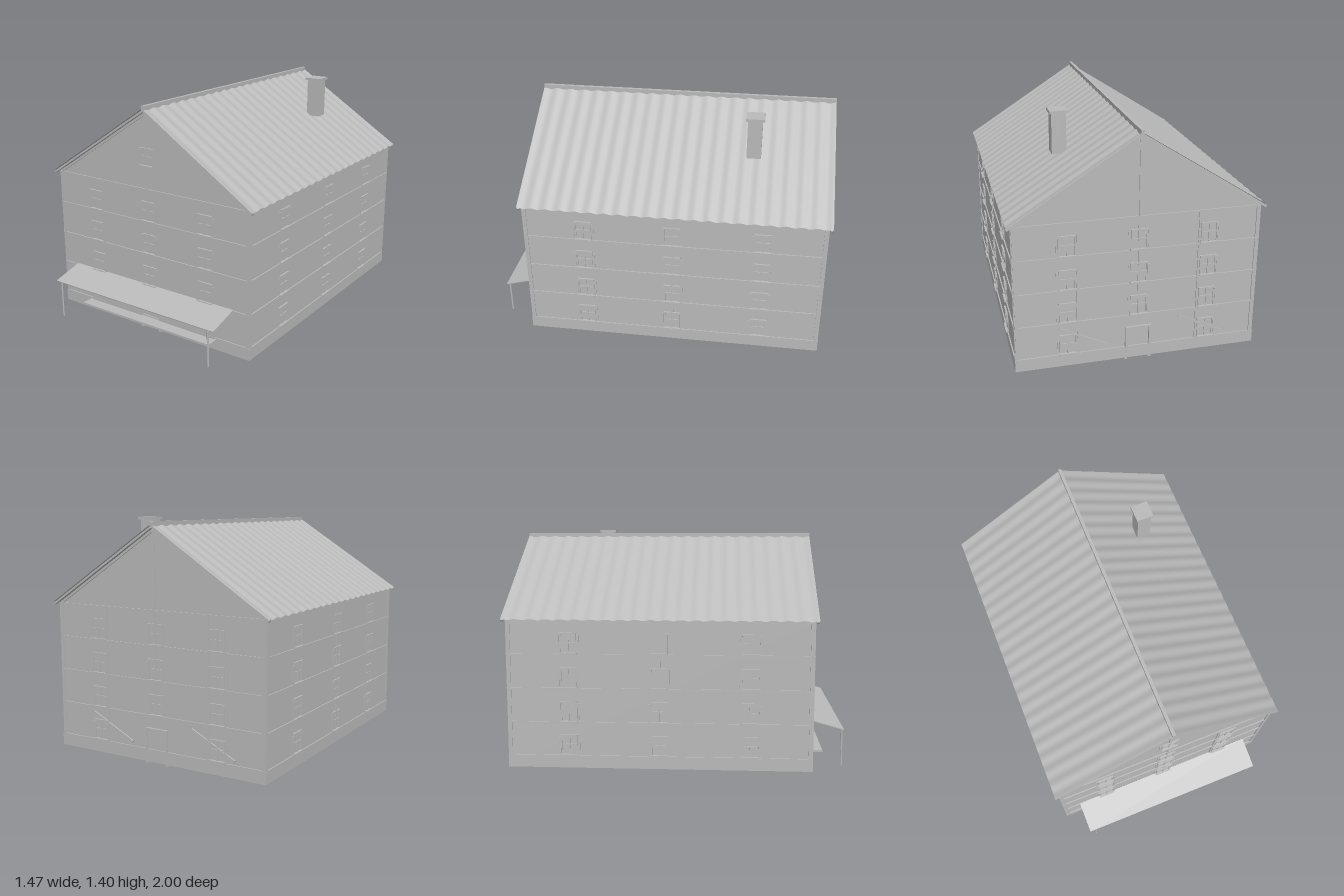
import * as THREE from 'three';

const grey = new THREE.MeshStandardMaterial({ color: 0xbababa });
grey.name = 'plain grey';
const greySheet = grey;
greySheet.side = THREE.DoubleSide;

const FLOORS = [0.085, 0.285, 0.488, 0.69];   // window sill height of each storey
const BELTS = [0.08, 0.282, 0.484, 0.686, 0.886];
const ZC = -0.085, HALF_W = 0.706, HALF_D = 0.89;

// Box given by its limits
function box(parent, name, x0, x1, y0, y1, z0, z1) {
  const m = new THREE.Mesh(new THREE.BoxGeometry(x1 - x0, y1 - y0, z1 - z0), grey);
  m.position.set((x0 + x1) / 2, (y0 + y1) / 2, (z0 + z1) / 2);
  m.name = name;
  parent.add(m);
  return m;
}

// Slanted bar lying on a wall between two points
function bar(parent, name, ax, ay, bx, by, width, depth) {
  const m = new THREE.Mesh(new THREE.BoxGeometry(Math.hypot(bx - ax, by - ay), width, depth), grey);
  m.position.set((ax + bx) / 2, (ay + by) / 2, depth / 2);
  m.rotation.z = Math.atan2(by - ay, bx - ax);
  m.name = name;
  parent.add(m);
}

// Four-pane window with sill, lintel and narrow shutters
function addWindow(wall, u, y, h = 0.12) {
  const g = new THREE.Group();
  g.name = 'window';
  g.position.set(u, y, 0);
  wall.add(g);
  const w = 0.045, t = 0.008, d = 0.006;
  box(g, 'sill', -0.052, 0.052, 0, 0.007, 0, 0.016);
  box(g, 'lintel', -0.05, 0.05, h - 0.004, h + 0.004, 0, 0.01);
  for (const s of [-1, 1]) {
    box(g, 'jamb', s * w - t / 2, s * w + t / 2, 0.007, h - 0.004, 0, d);
    box(g, 'shutter', s * 0.057 - 0.006, s * 0.057 + 0.006, 0.012, h - 0.01, 0, 0.004);
  }
  box(g, 'mullion', -0.004, 0.004, 0.007, h - 0.004, 0, d);
  box(g, 'transom', -w, w, h * 0.55 - 0.003, h * 0.55 + 0.003, 0, d);
}

// A wall group: local x runs along the wall, z points outwards
function makeWall(root, name, x, z, angle, half) {
  const wall = new THREE.Group();
  wall.name = name;
  wall.position.set(x, 0, z);
  wall.rotation.y = angle;
  root.add(wall);
  for (const y of BELTS) box(wall, 'floorBeam', -half, half, y - 0.005, y + 0.005, 0, 0.007);
  for (const s of [-1, 1]) box(wall, 'cornerPost', s * (half - 0.01) - 0.01, s * (half - 0.01) + 0.01, 0.08, 0.886, 0, 0.006);
  return wall;
}

// One corrugated roof slope, waves running along the ridge
function roofSlope(side) {
  const waves = 21, rows = waves * 8;
  const pos = [], idx = [];
  for (let i = 0; i <= rows; i++) {
    const z = 0.83 - 1.83 * i / rows;
    const lift = 0.004 * Math.cos(i / rows * waves * Math.PI * 2);
    pos.push(0, 1.362 + lift, z, side * 0.735, 0.892 + lift, z);
    if (i < rows) {
      const a = i * 2;
      if (side > 0) idx.push(a, a + 1, a + 2, a + 1, a + 3, a + 2);
      else idx.push(a, a + 2, a + 1, a + 1, a + 2, a + 3);
    }
  }
  const geo = new THREE.BufferGeometry();
  geo.setAttribute('position', new THREE.Float32BufferAttribute(pos, 3));
  geo.setIndex(idx);
  geo.computeVertexNormals();
  const m = new THREE.Mesh(geo, greySheet);
  m.name = 'roofSlope';
  return m;
}

export function createModel() {
  const root = new THREE.Group();
  root.name = 'house';

  // Solid body with gables
  const outline = new THREE.Shape([
    [-HALF_W, 0.01], [HALF_W, 0.01], [HALF_W, 0.89], [0, 1.343], [-HALF_W, 0.89],
  ].map(p => new THREE.Vector2(...p)));
  const bodyGeo = new THREE.ExtrudeGeometry(outline, { depth: 2 * HALF_D, bevelEnabled: false });
  bodyGeo.translate(0, 0, ZC - HALF_D);
  const body = new THREE.Mesh(bodyGeo, grey);
  body.name = 'body';
  root.add(body);
  box(root, 'plinth', -HALF_W - 0.006, HALF_W + 0.006, 0.01, 0.078, ZC - HALF_D - 0.006, ZC + HALF_D + 0.006);

  // Gable walls: posts, rafters, windows, door and braces
  for (const f of [1, -1]) {
    const wall = makeWall(root, f > 0 ? 'frontWall' : 'backWall', 0, ZC + f * HALF_D, f > 0 ? 0 : Math.PI, HALF_W);
    for (const s of [-1, 1]) {
      box(wall, 'innerPost', s * 0.35 - 0.006, s * 0.35 + 0.006, 0.08, 0.886, 0, 0.006);
      bar(wall, 'gableRafter', s * 0.69, 0.892, 0, 1.335, 0.014, 0.007);
    }
    FLOORS.forEach((y, i) => {
      for (const u of [-0.408, 0.408]) addWindow(wall, u, y);
      if (i > 0) {
        addWindow(wall, 0, y);
        box(wall, 'centrePost', -0.006, 0.006, y + 0.124, y + 0.196, 0, 0.006);
      }
    });
    if (f > 0) {
      addWindow(wall, 0, 1.025, 0.105);
      box(wall, 'centrePost', -0.006, 0.006, 0.89, 1.025, 0, 0.006);
      box(wall, 'centrePost', -0.006, 0.006, 1.134, 1.34, 0, 0.006);
    } else {
      box(wall, 'centrePost', -0.006, 0.006, 0.28, 1.34, 0, 0.006);
    }
    bar(wall, 'brace', f * -0.52, 0.105, f * -0.24, 0.245, 0.012, 0.008);
    bar(wall, 'brace', f * 0.17, 0.11, f * 0.46, 0.25, 0.012, 0.008);
    for (const s of [-1, 1]) {
      box(wall, 'doorJamb', s * 0.07 - 0.006, s * 0.07 + 0.006, 0.08, 0.205, 0, 0.013);
      box(wall, 'doorFoot', s * 0.07 - 0.008, s * 0.07 + 0.008, 0, 0.012, -0.01, 0.008);
    }
    box(wall, 'doorHead', -0.076, 0.076, 0.199, 0.211, 0, 0.013);
  }

  // Long walls: three windows per storey with a post above the middle one
  for (const s of [-1, 1]) {
    const wall = makeWall(root, s > 0 ? 'leftWall' : 'rightWall', s * HALF_W, ZC, s * Math.PI / 2, HALF_D);
    for (const y of FLOORS) {
      for (const u of [-0.53, 0, 0.53]) addWindow(wall, u, y);
      box(wall, 'sidePost', -0.008, 0.008, y + 0.124, y + 0.196, 0, 0.006);
    }
  }

  // Roof, barge boards and ridge cap
  for (const s of [-1, 1]) {
    root.add(roofSlope(s));
    for (const z of [0.82, -0.99]) {
      const board = new THREE.Mesh(new THREE.BoxGeometry(0.868, 0.012, 0.016), grey);
      board.position.set(s * 0.368, 1.117, z);
      board.rotation.z = -s * Math.atan2(0.47, 0.735);
      board.name = 'bargeBoard';
      root.add(board);
    }
  }
  box(root, 'ridgeCap', -0.01, 0.01, 1.345, 1.38, -1, 0.83);

  // Chimney
  box(root, 'chimney', 0.32, 0.405, 1.143, 1.382, -0.568, -0.483);
  box(root, 'chimneyCap', 0.309, 0.416, 1.38, 1.396, -0.58, -0.472);

  // Front porch: terrace slab, low panels, sloping canopy and posts
  box(root, 'terraceSlab', -0.488, 0.488, 0.065, 0.077, 0.8, 0.89);
  for (const s of [-1, 1]) {
    box(root, 'porchPanel', Math.min(s * 0.07, s * 0.475), Math.max(s * 0.07, s * 0.475), 0.077, 0.16, 0.8, 0.819);
    const post = new THREE.Mesh(new THREE.CylinderGeometry(0.006, 0.006, 0.22, 8), grey);
    post.position.set(s * 0.56, 0.12, 0.993);
    post.name = 'canopyPost';
    root.add(post);
  }
  const canopy = new THREE.Mesh(new THREE.BoxGeometry(1.2, 0.005, 0.2), grey);
  canopy.position.set(0, 0.262, 0.9025);
  canopy.rotation.x = Math.atan2(0.053, 0.193);
  canopy.name = 'canopy';
  root.add(canopy);

  return root;
}
